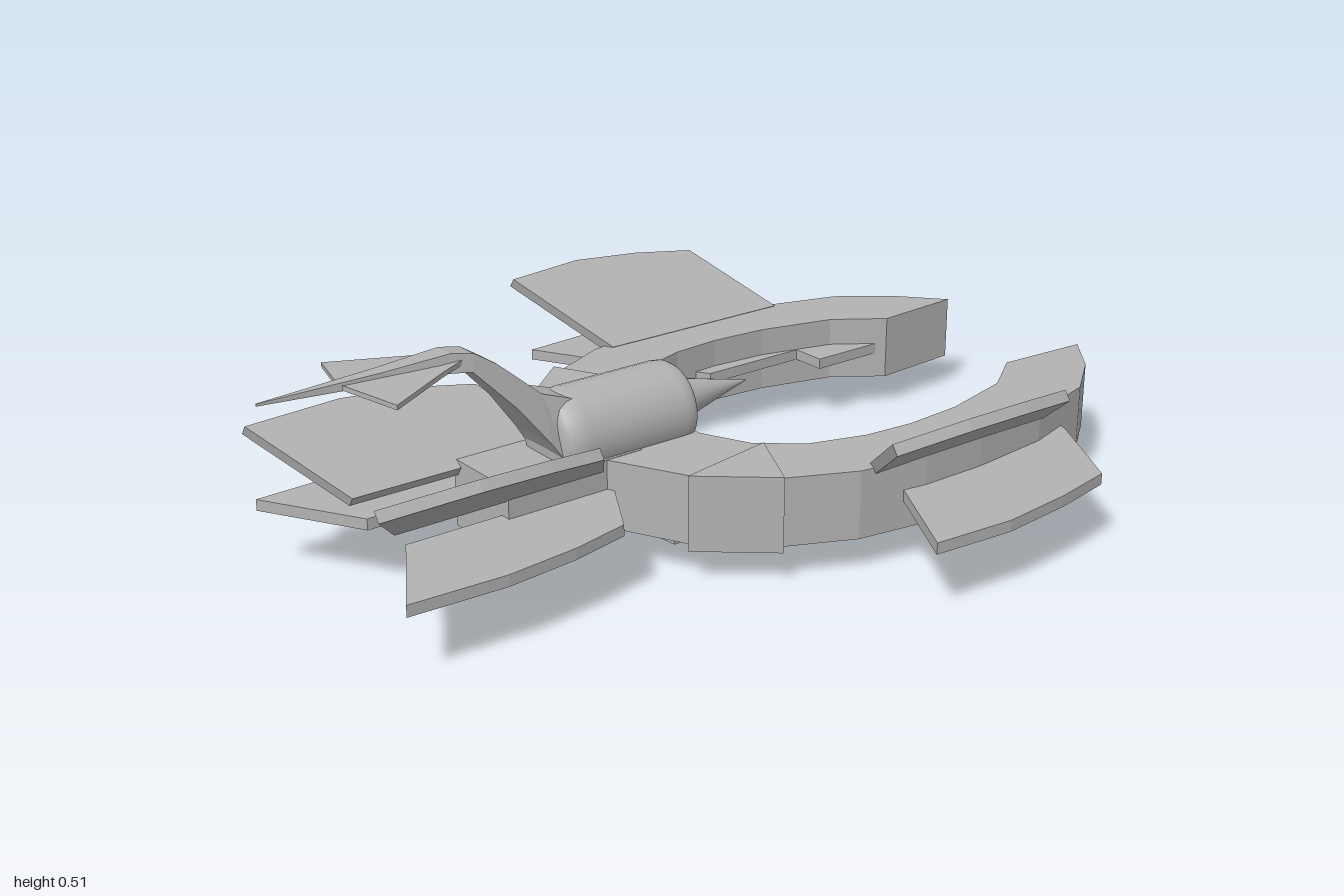
import * as THREE from 'three';

const hull = new THREE.MeshStandardMaterial({ color: 0xb2b2b2 });
hull.name = 'hull grey';

function add(group, geometry, name) {
  const mesh = new THREE.Mesh(geometry, hull);
  mesh.name = name;
  group.add(mesh);
  return mesh;
}

// Flat slab from an outline of [x, z] points, between two heights
function slab(points, y0, y1) {
  const shape = new THREE.Shape(points.map(([x, z]) => new THREE.Vector2(x, -z)));
  const g = new THREE.ExtrudeGeometry(shape, { depth: y1 - y0, bevelEnabled: false });
  return g.rotateX(-Math.PI / 2).translate(0, y0, 0);
}

const mirror = (points, s) => points.map(([x, z]) => [x * s, z]);
const mirrored = (points) => [...points, ...mirror(points, -1).reverse()];

// Loft through trapezoid sections: top [z, y, halfWidth], bottom [z, y, halfWidth]
function loft(sections) {
  const pos = [], idx = [];
  for (const [t, b] of sections) {
    pos.push(-t[2], t[1], t[0], t[2], t[1], t[0], b[2], b[1], b[0], -b[2], b[1], b[0]);
  }
  for (let i = 0; i < sections.length - 1; i++) {
    for (let k = 0; k < 4; k++) {
      const a = i * 4 + k, b = i * 4 + (k + 1) % 4;
      idx.push(a, a + 4, b, b, a + 4, b + 4);
    }
  }
  const e = (sections.length - 1) * 4;
  idx.push(0, 1, 2, 0, 2, 3, e, e + 2, e + 1, e, e + 3, e + 2);
  let g = new THREE.BufferGeometry();
  g.setAttribute('position', new THREE.Float32BufferAttribute(pos, 3));
  g.setIndex(idx);
  g = g.toNonIndexed();
  g.computeVertexNormals();
  return g;
}

export function createModel() {
  const model = new THREE.Group();
  model.name = 'horseshoeShip';

  // Horseshoe hull, open at the back
  const outer = [[0.215, -1], [0.32, -0.91], [0.41, -0.79], [0.465, -0.6], [0.485, -0.4], [0.485, -0.24],
    [0.46, -0.08], [0.39, 0.07], [0.28, 0.2], [0.1, 0.29]];
  const inner = [[0.1, 0.05], [0.21, 0], [0.285, -0.09], [0.325, -0.22], [0.335, -0.34], [0.325, -0.48],
    [0.28, -0.66], [0.2, -0.775]];
  const right = mirror([...outer].reverse(), -1);
  const innerRight = mirror([...inner].reverse(), -1);
  add(model, slab([...outer, ...right, ...innerRight, ...inner], 0.083, 0.234), 'horseshoeHull');

  // Box under the tail
  const body = new THREE.BoxGeometry(0.2, 0.15, 0.33).translate(0, 0.16, 0.365);
  add(model, body, 'frontBody');

  // Wing outlines, measured out from the hinge line
  const frontWing = [[0, 0.26], [0.185, 0.365], [0.215, 0.5], [0.232, 0.665], [0.222, 0.88], [0, 0.75]];
  const sideWing = [[0, -0.7], [0.22, -0.57], [0.248, -0.42], [0.265, -0.25], [0.25, -0.06], [0, -0.2]];
  const root = [[-0.15, -0.3], [-0.15, -0.57], [-0.235, -0.57], [-0.235, -0.76]];
  const wings = [
    ['lowerFrontWing', frontWing, 0.075, 0.157, 0, 0],
    ['upperFrontWing', frontWing, 0.08, 0.212, 0.03, 0.61],
    ['lowerSideWing', [...sideWing, ...root], 0.45, 0.157, 0, 0],
    ['upperSideWing', sideWing, 0.45, 0.225, 0.08, 0.61],
  ];
  for (const s of [1, -1]) {
    const label = s > 0 ? 'left' : 'right';
    for (const [name, outline, x, y, z, tilt] of wings) {
      const wing = add(model, slab(mirror(outline, s), -0.0125, 0.0125), `${label} ${name}`);
      wing.position.set(s * x, y, z);
      wing.rotation.z = s * tilt;
    }
    // Wedge bracket wrapped over the hull
    const wedge = [[0.405, 0.075], [0.28, 0.222], [0.238, -0.01]];
    add(model, slab(mirror(wedge, s), 0.076, 0.242), `${label} hullBracket`);
  }

  // Rounded engine pod with a rear spike
  const pod = [[0, 0.04], [0.075, 0.04], [0.09, 0.047], [0.098, 0.06], [0.1, 0.08], [0.1, 0.32], [0.097, 0.345],
    [0.088, 0.365], [0.072, 0.377], [0, 0.38]].map(([r, z]) => new THREE.Vector2(r, z));
  add(model, new THREE.LatheGeometry(pod, 32).rotateX(Math.PI / 2).translate(0, 0.27, 0), 'enginePod');
  const spike = new THREE.ConeGeometry(0.052, 0.21, 24).rotateX(-Math.PI / 2).translate(0, 0.275, -0.055);
  add(model, spike, 'engineSpike');

  // Swept tail pylon and its small tailplane
  add(model, loft([
    [[0.33, 0.36, 0.04], [0.36, 0.225, 0.075]],
    [[0.4, 0.385, 0.035], [0.4, 0.285, 0.068]],
    [[0.5, 0.47, 0.028], [0.47, 0.375, 0.052]],
    [[0.55, 0.502, 0.026], [0.56, 0.468, 0.036]],
    [[0.6, 0.512, 0.024], [0.62, 0.476, 0.03]],
    [[0.75, 0.504, 0.016], [0.75, 0.482, 0.018]],
    [[1, 0.497, 0.001], [1, 0.492, 0.001]],
  ]), 'tailPylon');
  const tailplane = slab(mirrored([[0.02, 0.56], [0.06, 0.64], [0.145, 0.79], [0.01, 0.83]]), 0.487, 0.497);
  const p = tailplane.attributes.position;
  for (let i = 0; i < p.count; i++) p.setY(i, p.getY(i) - Math.abs(p.getX(i)) * 0.06);
  tailplane.computeVertexNormals();
  add(model, tailplane, 'tailplane');

  // Belly foil, thinner toward its tips, on a slanted strut
  const foil = slab(mirrored([[0.04, 0.14], [0.13, 0.14], [0.13, 0.12], [0.04, -0.1], [0.005, -0.23]]), 0, 0.034);
  const f = foil.attributes.position;
  for (let i = 0; i < f.count; i++) {
    const thin = 1 - 0.4 * Math.min(1, Math.max(0, (Math.abs(f.getX(i)) - 0.04) / 0.09));
    const rear = f.getZ(i) < 0 ? 0.6 : 1;
    f.setY(i, 0.022 + (f.getY(i) - 0.017) * thin * rear);
  }
  foil.computeVertexNormals();
  add(model, foil, 'bellyFoil');
  const strut = add(model, new THREE.CylinderGeometry(0.028, 0.038, 0.2, 20), 'bellyStrut');
  strut.position.set(0, 0.125, 0.085);
  strut.rotation.x = 0.4;

  return model;
}
